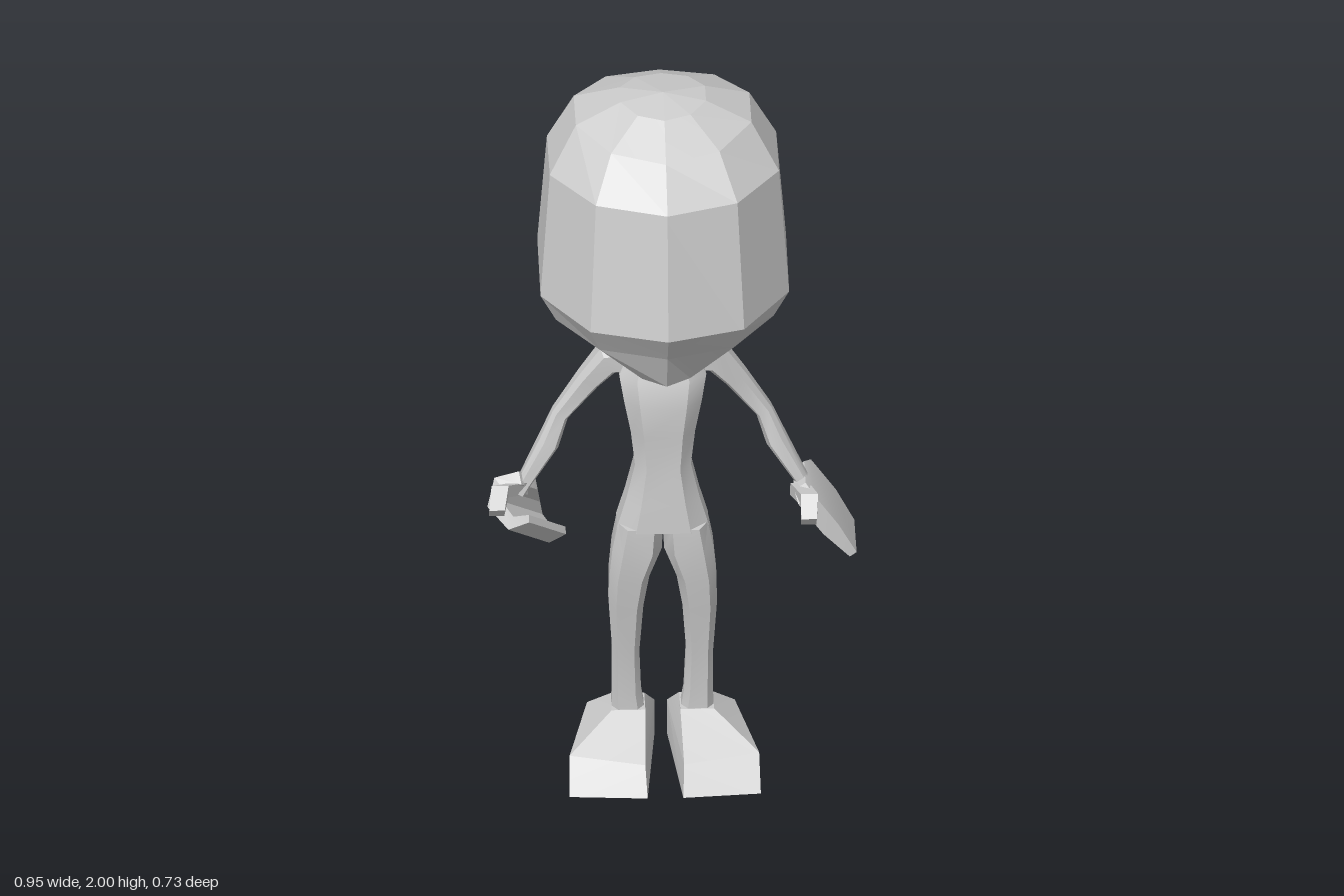
import * as THREE from 'three';
import { toCreasedNormals } from 'three/addons/utils/BufferGeometryUtils.js';

const V = (x, y, z) => new THREE.Vector3(x, y, z);
const material = new THREE.MeshStandardMaterial({ color: 0xcccccc });

// Skin between rings of equal point count, closed with a fan at each end.
function loft(name, rings, crease = 0.5, startTip, endTip) {
  const n = rings[0].length;
  const centre = (r) => r.reduce((s, p) => s.add(p), V(0, 0, 0)).divideScalar(n);
  const tris = [];
  const first = rings[0], last = rings[rings.length - 1];
  const a = startTip || centre(first), b = endTip || centre(last);
  for (let i = 0; i < n; i++) {
    const j = (i + 1) % n;
    tris.push([a, first[j], first[i]], [b, last[i], last[j]]);
    for (let r = 0; r + 1 < rings.length; r++) {
      const p = rings[r], q = rings[r + 1];
      tris.push([p[i], p[j], q[j]], [p[i], q[j], q[i]]);
    }
  }
  // Turn every face outward if the enclosed volume comes out negative
  const volume = tris.reduce((s, [p, q, t]) =>
    s + p.clone().sub(a).dot(q.clone().sub(a).cross(t.clone().sub(a))), 0);
  if (volume < 0) tris.forEach((t) => t.reverse());
  const geometry = new THREE.BufferGeometry().setFromPoints(tris.flat());
  const mesh = new THREE.Mesh(toCreasedNormals(geometry, crease), material);
  mesh.name = name;
  return mesh;
}

// Chamfered rectangle spanned by two half-axis vectors
function section(c, u, v) {
  return [[1, 0.45], [0.6, 1], [-0.6, 1], [-1, 0.45], [-1, -0.45], [-0.6, -1], [0.6, -1], [1, -0.45]]
    .map(([s, t]) => c.clone().addScaledVector(u, s).addScaledVector(v, t));
}

// Plain four-cornered section
function quad(c, u, v) {
  return [[1, 1], [-1, 1], [-1, -1], [1, -1]]
    .map(([s, t]) => c.clone().addScaledVector(u, s).addScaledVector(v, t));
}

// Horizontal section from x0 to x1 and zBack to zFront
const slice = (y, x0, x1, zFront, zBack) => section(
  V((x0 + x1) / 2, y, (zFront + zBack) / 2), V((x1 - x0) / 2, 0, 0), V(0, 0, (zFront - zBack) / 2));

// Ten-sided head ring: half width, front z, back z, heights at front, side and back
function headRing([rx, zf, zb, yf, ys, yb]) {
  return Array.from({ length: 10 }, (_, k) => {
    const c = Math.cos(k * Math.PI / 5), s = Math.sin(k * Math.PI / 5);
    const y = ys + (yf - yb) / 2 * c + ((yf + yb) / 2 - ys) * c * c;
    return V(rx * s / 0.951, y, (zf + zb) / 2 + (zf - zb) / 2 * c);
  });
}

// Limb whose path lies mostly in the xy plane: [x, y, z, half thickness, half depth]
function limb(name, side, path, shape = section) {
  const points = path.map(([x, y, z]) => V(x * side, y, z));
  return loft(name, path.map(([, , , thick, deep], i) => {
    const d = points[Math.min(i + 1, path.length - 1)].clone().sub(points[Math.max(i - 1, 0)]);
    const normal = V(-d.y, d.x, 0).normalize().multiplyScalar(thick);
    return shape(points[i], normal, V(0, 0, deep));
  }), 0.5);
}

export function createModel() {
  const model = new THREE.Group();
  model.name = 'figure';
  const body = new THREE.Group();
  body.name = 'body';
  body.position.x = -0.026;
  model.add(body);

  // Large faceted head, leaning forward at the chin
  body.add(loft('head', [
    [0.11, 0.095, -0.15, 1.975, 1.985, 1.975],
    [0.226, 0.2, -0.28, 1.905, 1.935, 1.91],
    [0.295, 0.31, -0.34, 1.815, 1.815, 1.815],
    [0.32, 0.37, -0.36, 1.475, 1.49, 1.61],
    [0.28, 0.31, -0.257, 1.39, 1.41, 1.46],
    [0.1, 0.26, -0.115, 1.28, 1.3, 1.32],
  ].map(headRing), 0.05, V(0, 2, -0.01)));

  // Neck, chest, waist and hips: [y, half width, front z, back z]
  body.add(loft('torso', [
    [1.34, 0.08, -0.015, -0.115],
    [1.26, 0.078, -0.02, -0.105],
    [1.21, 0.088, -0.01, -0.13],
    [1.15, 0.112, 0.015, -0.128],
    [1.08, 0.1, 0.03, -0.12],
    [0.99, 0.083, 0.025, -0.113],
    [0.89, 0.072, 0.022, -0.11],
    [0.79, 0.095, 0.03, -0.12],
    [0.71, 0.118, 0.034, -0.125],
  ].map(([y, w, f, b]) => slice(y, -w, w, f, b))));

  for (const side of [1, -1]) {
    const label = side > 0 ? 'left' : 'right';

    // Leg: [y, inner x, outer x, front z, back z]
    body.add(loft(label + 'Leg', [
      [0.72, 0, 0.115, 0.033, -0.124],
      [0.645, 0.003, 0.13, 0.034, -0.117],
      [0.56, 0.035, 0.138, 0.025, -0.108],
      [0.47, 0.05, 0.139, 0.012, -0.1],
      [0.33, 0.06, 0.13, -0.01, -0.083],
      [0.2, 0.055, 0.13, -0.02, -0.098],
      [0.14, 0.045, 0.132, -0.02, -0.106],
    ].map(([y, i, o, f, b]) => slice(y, side * i, side * o, f, b))));

    // Wedge foot turned outward, sole to ankle
    body.add(loft(label + 'Foot', [
      [[0.016, 0, -0.17], [0.195, 0, -0.165], [0.246, 0, 0.15], [0.046, 0, 0.165]],
      [[0.016, 0.1, -0.168], [0.19, 0.1, -0.162], [0.244, 0.085, 0.085], [0.05, 0.07, 0.115]],
      [[0.045, 0.158, -0.106], [0.132, 0.158, -0.106], [0.132, 0.158, -0.018], [0.045, 0.158, -0.018]],
    ].map((ring) => ring.map(([x, y, z]) => V(side * x, y, z))), 0.3));

    // Shoulder, upper arm, elbow and forearm
    body.add(limb(label + 'Arm', side, [
      [0.05, 1.185, -0.075, 0.045, 0.045],
      [0.14, 1.175, -0.08, 0.04, 0.045],
      [0.19, 1.11, -0.085, 0.03, 0.036],
      [0.262, 1.01, -0.085, 0.022, 0.028],
      [0.292, 0.935, -0.07, 0.027, 0.034],
      [0.355, 0.825, -0.055, 0.018, 0.025],
      [0.37, 0.8, -0.05, 0.018, 0.025],
    ]));
  }

  // Open left hand: a flat mitten pointing down and out
  body.add(limb('leftHand', 1, [
    [0.352, 0.825, -0.055, 0.018, 0.055],
    [0.366, 0.805, -0.057, 0.024, 0.09],
    [0.43, 0.715, -0.057, 0.024, 0.09],
    [0.488, 0.637, -0.053, 0.011, 0.083],
  ], quad));

  // Thumb: bent block through three points
  const thumb = (name, points) => loft(name, points.map(([x, y, z], i) =>
    quad(V(x, y, z), V(0.024 - i * 0.002, 0, 0), i < 2 ? V(0, 0.022, 0.008) : V(0, 0.016, 0.014))), 0.3);
  body.add(thumb('leftThumb', [[0.352, 0.8, -0.03], [0.375, 0.81, 0.045], [0.372, 0.765, 0.08]]));

  // Curled right hand: back of the hand, knuckles and fingers bending forward
  const across = V(-0.055, 0.06, 0.068);
  const curl = [
    [-0.345, 0.825, -0.055, 0.4, 0.018],
    [-0.372, 0.775, -0.095, 0.9, 0.022],
    [-0.378, 0.715, -0.092, 1, 0.022],
    [-0.338, 0.69, -0.035, 1, 0.018],
    [-0.298, 0.725, 0, 0.9, 0.01],
  ];
  const path = curl.map(([x, y, z]) => V(x, y, z));
  body.add(loft('rightHand', curl.map(([, , , width, thick], i) => {
    const d = path[Math.min(i + 1, 4)].clone().sub(path[Math.max(i - 1, 0)]);
    const normal = d.cross(across).normalize().multiplyScalar(thick);
    return quad(path[i], across.clone().multiplyScalar(width), normal);
  }), 0.5));
  body.add(thumb('rightThumb', [[-0.37, 0.81, -0.04], [-0.42, 0.825, 0], [-0.43, 0.79, 0.05]]));

  return model;
}
